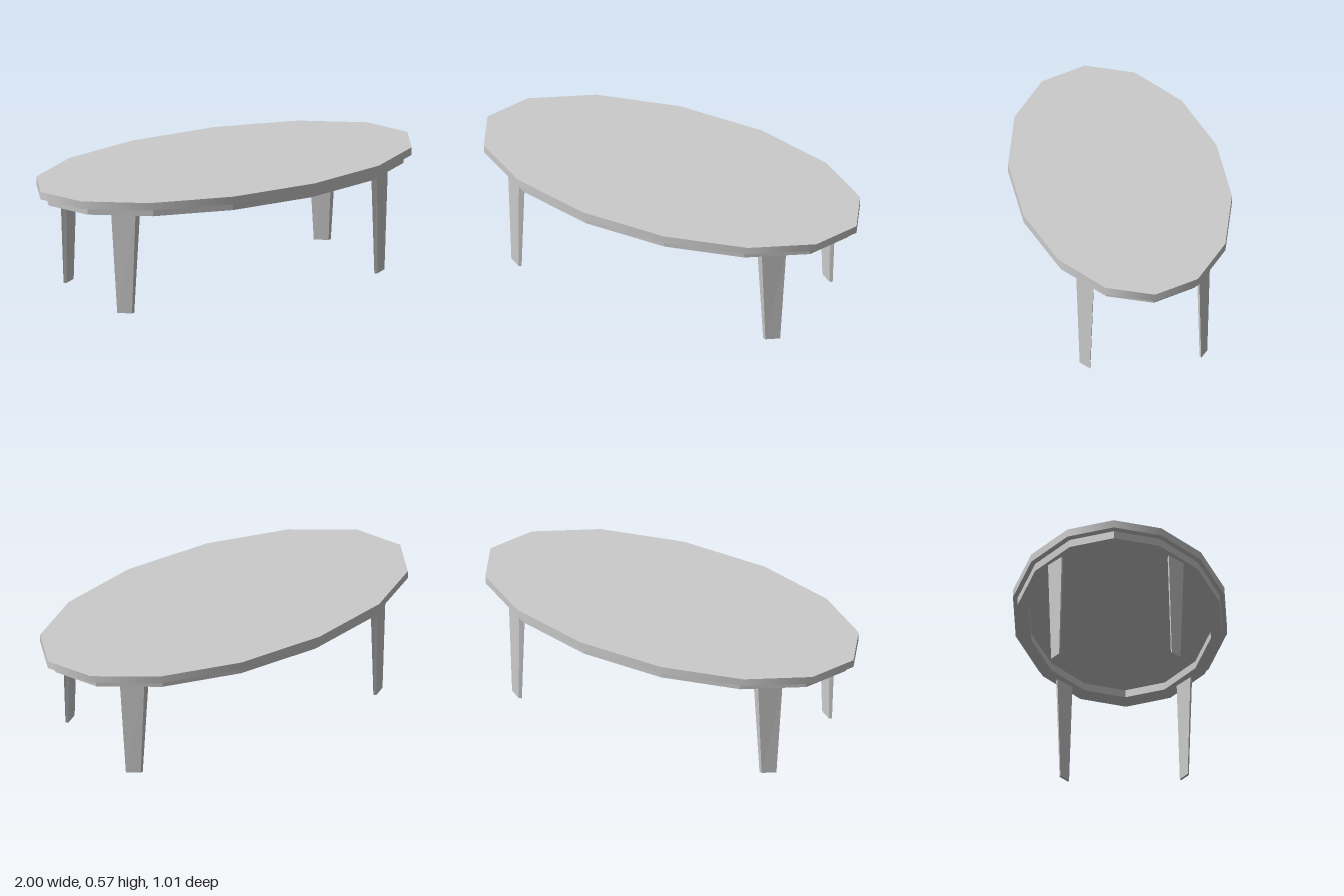
import * as THREE from 'three';

const SIDES = 14;
const DEPTH = 0.52; // the oval's depth relative to its width

// Oval outline with straight facets, a corner on each end of the x axis
function ovalPoints(r) {
  return Array.from({ length: SIDES }, (_, i) => {
    const a = (i / SIDES) * Math.PI * 2;
    return new THREE.Vector2(Math.cos(a) * r, Math.sin(a) * r * DEPTH);
  });
}

// Tapered, skewed leg: a box whose corners follow a wide and a thin direction
function legGeometry(sx, sz) {
  const top = { y: 0.505, x: 0.6925, z: 0.288, wide: [0.096, -0.069], thin: [0.028, 0.007] };
  const foot = { y: 0, x: 0.6915, z: 0.288, wide: [0.059, -0.04], thin: [0.015, 0.005] };
  const geo = new THREE.BoxGeometry(1, 1, 1);
  const pos = geo.attributes.position;
  for (let i = 0; i < pos.count; i++) {
    const e = pos.getY(i) > 0 ? top : foot;
    const u = pos.getX(i) * sx * sz; // keeps the faces outward when mirrored
    const v = pos.getZ(i);
    pos.setXYZ(
      i,
      sx * (e.x + e.wide[0] * u + e.thin[0] * v),
      e.y,
      sz * (e.z + e.wide[1] * u + e.thin[1] * v)
    );
  }
  geo.computeVertexNormals();
  return geo;
}

export function createModel() {
  const table = new THREE.Group();
  table.name = 'ovalTable';
  const smooth = new THREE.MeshStandardMaterial({ color: 0xcccccc });
  const flat = new THREE.MeshStandardMaterial({ color: 0xcccccc, flatShading: true });

  const add = (name, geometry, material) => {
    const mesh = new THREE.Mesh(geometry, material);
    mesh.name = name;
    table.add(mesh);
    return mesh;
  };

  // Table top
  const slab = new THREE.CylinderGeometry(1, 1, 0.038, SIDES);
  slab.rotateY(Math.PI / 2).scale(1, 1, DEPTH).translate(0, 0.556, 0);
  add('tableTop', slab, smooth);

  // Apron ring under the top
  const ring = new THREE.Shape(ovalPoints(0.957));
  ring.holes.push(new THREE.Path(ovalPoints(0.85)));
  const apron = new THREE.ExtrudeGeometry(ring, { depth: 0.037, bevelEnabled: false });
  apron.rotateX(-Math.PI / 2).translate(0, 0.5, 0);
  add('apron', apron, flat);

  // Four legs
  for (const sx of [-1, 1]) {
    for (const sz of [-1, 1]) {
      const name = (sz > 0 ? 'front' : 'back') + (sx > 0 ? 'Left' : 'Right') + 'Leg';
      add(name, legGeometry(sx, sz), flat);
    }
  }
  return table;
}
